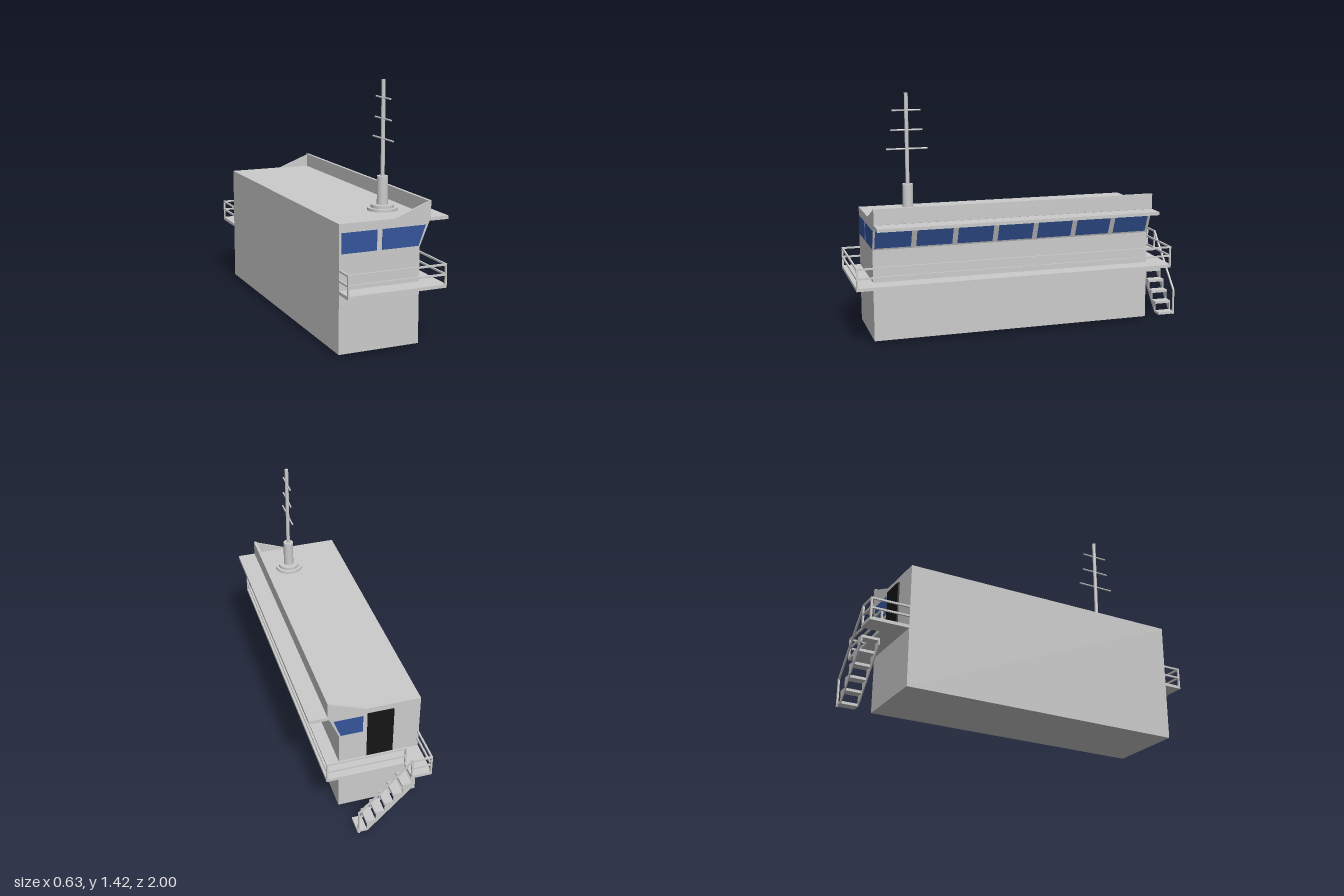
import * as THREE from 'three';

const grey = new THREE.MeshStandardMaterial({ color: 0xcccccc });
const glass = new THREE.MeshStandardMaterial({ color: 0x34549a });
const black = new THREE.MeshStandardMaterial({ color: 0x151515 });

const BACK = -0.78, FRONT = 0.89;

export function createModel() {
  const root = new THREE.Group();

  const add = (name, geometry, material = grey, parent = root) => {
    const mesh = new THREE.Mesh(geometry, material);
    mesh.name = name;
    parent.add(mesh);
    return mesh;
  };
  const group = (name) => {
    const g = new THREE.Group();
    g.name = name;
    root.add(g);
    return g;
  };
  // box given by its minimum and maximum corners
  const box = (name, a, b, material, parent) => {
    const g = new THREE.BoxGeometry(b[0] - a[0], b[1] - a[1], b[2] - a[2]);
    g.translate((a[0] + b[0]) / 2, (a[1] + b[1]) / 2, (a[2] + b[2]) / 2);
    return add(name, g, material, parent);
  };
  // x-y outline extruded from z0 to z1
  const prism = (name, points, z0, z1, material, parent) => {
    const shape = new THREE.Shape(points.map(([x, y]) => new THREE.Vector2(x, y)));
    const g = new THREE.ExtrudeGeometry(shape, { depth: z1 - z0, bevelEnabled: false });
    g.translate(0, 0, z0);
    return add(name, g, material, parent);
  };
  // square bar between two points
  const bar = (name, a, b, parent, t = 0.01) => {
    const p = new THREE.Vector3(...a), q = new THREE.Vector3(...b);
    const m = add(name, new THREE.BoxGeometry(t, t, p.distanceTo(q) + t), grey, parent);
    m.position.copy(p).lerp(q, 0.5);
    m.lookAt(q);
    return m;
  };

  // main house with outward-leaning window wall
  prism('house', [
    [-0.32, 0.02], [0.145, 0.02], [0.145, 0.55], [0.21, 0.705], [0.21, 0.715], [-0.32, 0.715],
  ], BACK, FRONT);

  // roof parapet and its sloping end gussets
  box('parapet', [0.192, 0.715, BACK], [0.21, 0.795, FRONT]);
  for (const z of [BACK, FRONT - 0.012]) {
    prism('parapetGusset', [[0, 0.715], [0.21, 0.715], [0.21, 0.795]], z, z + 0.012);
  }
  box('visor', [0.2, 0.685, BACK], [0.315, 0.704, FRONT]);

  // windows on the front and back walls
  const windows = group('windows');
  const slanted = (x0) => [[x0, 0.557], [0.137, 0.557], [0.178, 0.667], [x0, 0.667]];
  box('frontWindow', [-0.305, 0.557, FRONT - 0.01], [-0.105, 0.667, FRONT + 0.003], glass, windows);
  prism('frontCornerWindow', slanted(-0.075), FRONT - 0.01, FRONT + 0.003, glass, windows);
  prism('backCornerWindow', slanted(0.01), BACK - 0.003, BACK + 0.01, glass, windows);

  // seven panes lying on the leaning side wall
  for (let i = 0; i < 7; i++) {
    const z1 = 0.88 - i * 0.239;
    prism('sideWindow', [
      [0.14, 0.56], [0.152, 0.56], [0.1965, 0.667], [0.18, 0.667],
    ], z1 - 0.208, z1, glass, windows);
  }

  box('door', [-0.165, 0.365, BACK - 0.01], [-0.015, 0.68, BACK + 0.01], black);

  // walkway decks around the house
  const walkway = group('walkway');
  const deck = (x0, x1, z0, z1) => box('deck', [x0, 0.345, z0], [x1, 0.363, z1], grey, walkway);
  deck(-0.32, 0.25, FRONT, 1);
  deck(0.145, 0.25, BACK, FRONT);
  deck(-0.2, 0.25, -0.895, BACK);
  deck(-0.32, -0.2, -1, BACK);

  // railings: two rails along each path, a post at each corner
  const railings = group('railings');
  const railing = (path, posts) => {
    path.forEach(([x, z], i) => {
      if (posts[i]) bar('railPost', [x, 0.36, z], [x, 0.47, z], railings);
      if (i === 0) return;
      const [px, pz] = path[i - 1];
      for (const y of [0.416, 0.47]) bar('rail', [px, y, pz], [x, y, z], railings);
    });
  };
  railing(
    [[-0.315, FRONT], [-0.315, 0.995], [0.245, 0.995], [0.245, -0.89], [-0.205, -0.89]],
    [0, 1, 1, 1, 1],
  );
  railing([[-0.315, BACK], [-0.315, -0.995], [-0.205, -0.995]], [0, 1, 1]);

  // stairs descending from the back landing
  const stairs = group('stairs');
  const steps = 6, run = 0.05, rise = 0.057, x0 = -0.205;
  const outline = [[x0, 0.345]];
  for (let i = 1; i <= steps; i++) {
    const y = 0.36 - i * rise;
    outline.push([x0 + (i - 1) * run, y], [x0 + i * run, y]);
  }
  outline.push([0.095, 0.005], [0.04, 0.005], [x0, 0.265]);
  outline.shift();
  outline.reverse();
  for (const z of [-0.997, -0.899]) prism('stringer', outline, z, z + 0.006, grey, stairs);
  for (let i = 1; i <= steps; i++) {
    const x = x0 + (i - 1) * run, y = 0.36 - i * rise;
    box('tread', [x, y - 0.013, -0.994], [x + run + 0.005, y + 0.002, -0.894], grey, stairs);
  }
  bar('handrailPost', [0.092, 0.005, -0.995], [0.092, 0.155, -0.995], stairs);
  bar('handrail', [0.092, 0.155, -0.995], [-0.205, 0.47, -0.995], stairs);

  // mast on a stepped round base
  const mast = group('mast');
  mast.position.set(0.038, 0, 0.662);
  const cylinder = (name, r, y0, y1) => {
    add(name, new THREE.CylinderGeometry(r, r, y1 - y0, 32), grey, mast).position.y = (y0 + y1) / 2;
  };
  cylinder('basePlate', 0.083, 0.715, 0.73);
  cylinder('baseStep', 0.063, 0.73, 0.746);
  cylinder('pedestal', 0.03, 0.746, 0.9);
  cylinder('pole', 0.011, 0.9, 1.415);
  for (const [y, half] of [[1.1, 0.118], [1.207, 0.092], [1.318, 0.082]]) {
    const arm = add('crossArm', new THREE.CylinderGeometry(0.005, 0.005, half * 2, 12), grey, mast);
    arm.rotation.x = Math.PI / 2;
    arm.position.y = y;
  }

  return root;
}
